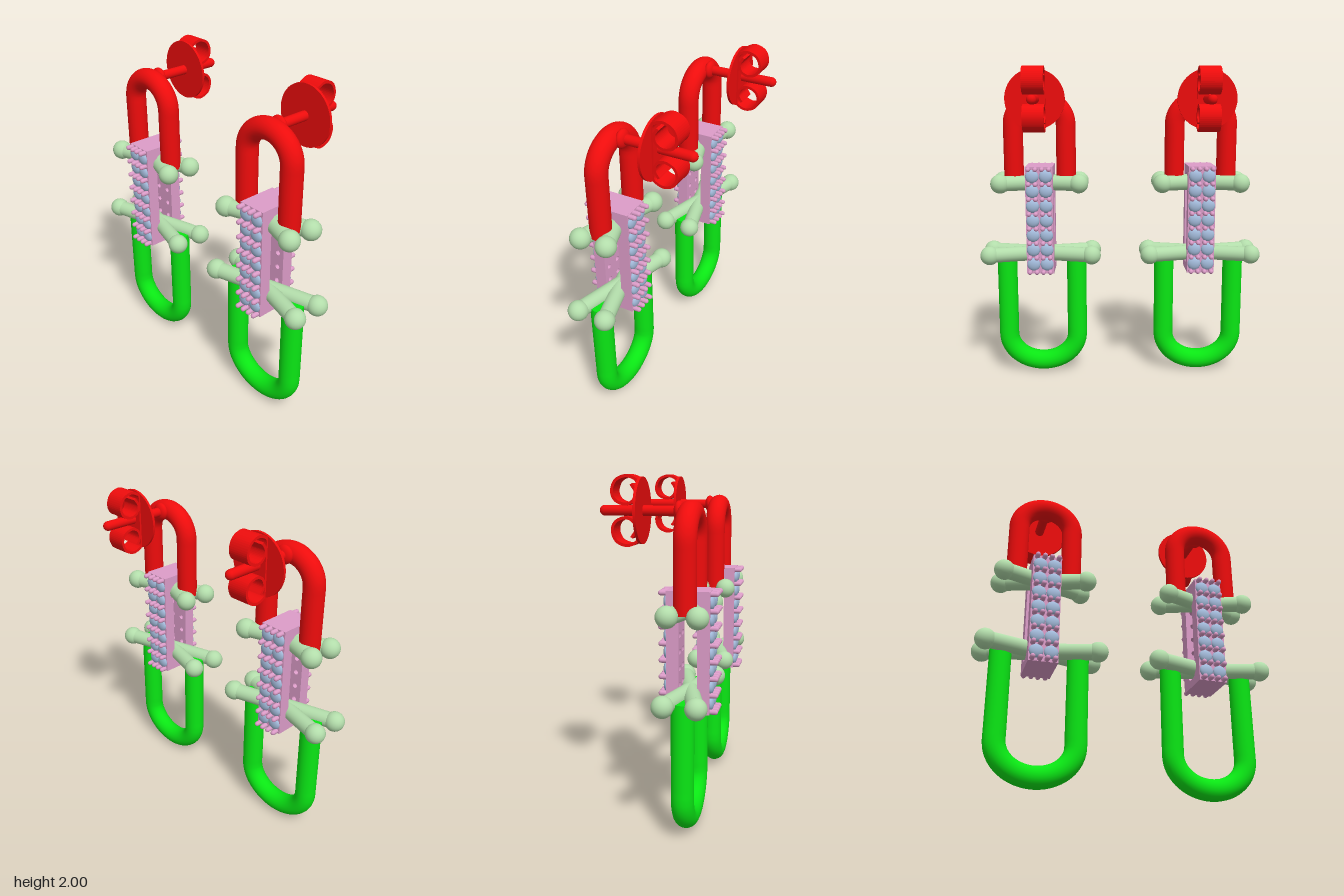
import * as THREE from 'three';

const mat = (color) => new THREE.MeshStandardMaterial({ color });
const RED = mat(0xee0c0c), GREEN = mat(0x0ae614), SAGE = mat(0xb2dcaa);
const PINK = mat(0xdc9cc8), BLUE = mat(0xa4bcdc);
RED.side = THREE.DoubleSide;

function add(parent, name, geometry, material, x = 0, y = 0, z = 0) {
  const mesh = new THREE.Mesh(geometry, material);
  mesh.name = name;
  mesh.position.set(x, y, z);
  parent.add(mesh);
  return mesh;
}

// U-shaped loop: two straight legs joined by half an ellipse, dir = 1 arches up, -1 hangs down
function addLoop(parent, name, material, halfWidth, rise, springY, endY, dir, radius) {
  const pts = [];
  const leg = (t) => springY + (endY - springY) * t;
  for (const t of [1, 0.66, 0.33, 0.1]) pts.push(new THREE.Vector3(halfWidth, leg(t), 0));
  for (let i = 0; i <= 16; i++) {
    const a = (i / 16) * Math.PI;
    pts.push(new THREE.Vector3(halfWidth * Math.cos(a), springY + dir * rise * Math.sin(a), 0));
  }
  for (const t of [0.1, 0.33, 0.66, 1]) pts.push(new THREE.Vector3(-halfWidth, leg(t), 0));
  add(parent, name, new THREE.TubeGeometry(new THREE.CatmullRomCurve3(pts), 96, radius, 24), material);
  for (const s of [-1, 1]) {
    const cap = add(parent, name + 'End', new THREE.CircleGeometry(radius, 24), material, s * halfWidth, endY, 0);
    cap.rotation.x = dir * Math.PI / 2;
  }
}

// Two crossing rods with a ball on each end
function addCrossedRods(parent, name, y, dx, dz) {
  const group = new THREE.Group();
  group.name = name;
  group.position.y = y;
  const rodGeo = new THREE.CylinderGeometry(0.048, 0.048, 2 * Math.hypot(dx, dz), 24);
  const ballGeo = new THREE.SphereGeometry(0.061, 24, 16);
  for (const s of [-1, 1]) {
    const rod = add(group, 'rod', rodGeo, SAGE);
    rod.quaternion.setFromUnitVectors(new THREE.Vector3(0, 1, 0), new THREE.Vector3(dx, 0, s * dz).normalize());
    for (const e of [-1, 1]) add(group, 'ball', ballGeo, SAGE, e * dx, 0, e * s * dz);
  }
  parent.add(group);
}

// Open box set with two columns of stones on its front and back
function createSetting() {
  const group = new THREE.Group();
  group.name = 'stoneSetting';
  const W = 0.174, H = 0.69, D = 0.244, T = 0.07, rows = 7, pitch = 0.0945, col = 0.043;
  const rowY = (r) => (r - (rows - 1) / 2) * pitch;

  // plate pierced behind every stone
  const plate = new THREE.Shape();
  plate.moveTo(-W / 2, -H / 2).lineTo(W / 2, -H / 2).lineTo(W / 2, H / 2).lineTo(-W / 2, H / 2).closePath();
  for (let r = 0; r < rows; r++) for (const s of [-1, 1]) {
    plate.holes.push(new THREE.Path().absarc(s * col, rowY(r), 0.016, 0, Math.PI * 2, true));
  }
  const plateGeo = new THREE.ExtrudeGeometry(plate, { depth: T, bevelEnabled: false, curveSegments: 8 });

  // end block with filleted inner corners
  const w = D / 2 - T, f = 0.035, t = 0.05;
  const block = new THREE.Shape();
  block.moveTo(-w, 0).lineTo(w, 0).lineTo(w, -t - f);
  block.absarc(w - f, -t - f, f, 0, Math.PI / 2, false);
  block.lineTo(-w + f, -t);
  block.absarc(-w + f, -t - f, f, Math.PI / 2, Math.PI, false);
  block.closePath();
  const blockGeo = new THREE.ExtrudeGeometry(block, { depth: W, bevelEnabled: false, curveSegments: 8 });
  blockGeo.translate(0, 0, -W / 2).rotateY(Math.PI / 2);

  const stoneGeo = new THREE.SphereGeometry(0.042, 20, 14).scale(1, 1, 0.5);
  const prongGeo = new THREE.CapsuleGeometry(0.015, 0.04, 4, 10).rotateX(Math.PI / 2);

  for (const turn of [0, Math.PI]) {
    const side = new THREE.Group();
    side.name = turn ? 'backFace' : 'frontFace';
    side.rotation.y = turn;
    add(side, 'plate', plateGeo, PINK, 0, 0, D / 2 - T);
    for (const s of [-1, 1]) {
      for (let r = 0; r < rows; r++) add(side, 'stone', stoneGeo, BLUE, s * col, rowY(r), D / 2);
      for (let r = 0; r <= rows; r++) for (const k of [-1, 1]) {
        add(side, 'prong', prongGeo, PINK, s * col + k * 0.022, rowY(r - 0.5), D / 2 + 0.012);
      }
    }
    group.add(side);
    const end = add(group, turn ? 'bottomBlock' : 'topBlock', blockGeo, PINK, 0, turn ? -H / 2 : H / 2, 0);
    end.rotation.x = turn;
  }
  return group;
}

// Ear post with disc and a curled clip; local z = 0 is the world centre plane
function createStud() {
  const group = new THREE.Group();
  group.name = 'earStud';
  add(group, 'post', new THREE.CapsuleGeometry(0.029, 0.39, 6, 18).rotateX(Math.PI / 2), RED, 0, 0, -0.111);
  add(group, 'collar', new THREE.SphereGeometry(0.055, 24, 16).scale(1, 1, 0.55), RED, 0, 0, 0.108);
  add(group, 'disc', new THREE.CylinderGeometry(0.18, 0.18, 0.015, 48).rotateX(Math.PI / 2), RED, 0, 0, -0.097);

  // one curled ribbon, swept by offsetting its centre line (z, y)
  const line = new THREE.SplineCurve([
    [-0.107, 0], [-0.107, 0.08], [-0.107, 0.15], [-0.135, 0.176], [-0.177, 0.184], [-0.228, 0.16],
    [-0.249, 0.105], [-0.23, 0.057], [-0.177, 0.036], [-0.132, 0.055], [-0.118, 0.1], [-0.142, 0.142],
  ].map(([z, y]) => new THREE.Vector2(z, y)));
  const outer = [], inner = [];
  for (let i = 0; i <= 60; i++) {
    const p = line.getPoint(i / 60), d = line.getTangent(i / 60);
    const n = new THREE.Vector2(-d.y, d.x).multiplyScalar(0.008);
    outer.push(p.clone().add(n));
    inner.unshift(p.clone().sub(n));
  }
  const width = 0.128;
  const curlGeo = new THREE.ExtrudeGeometry(new THREE.Shape([...outer, ...inner]), { depth: width, bevelEnabled: false });
  curlGeo.translate(0, 0, -width / 2).rotateY(-Math.PI / 2);
  add(group, 'upperCurl', curlGeo, RED);
  add(group, 'lowerCurl', curlGeo, RED).rotation.z = Math.PI;
  return group;
}

function createEarring(name) {
  const earring = new THREE.Group();
  earring.name = name;
  const body = new THREE.Group();
  body.name = 'body';
  body.position.z = 0.172;
  addLoop(body, 'upperLoop', RED, 0.168, 0.155, 1.65, 1.275, 1, 0.063);
  addLoop(body, 'lowerLoop', GREEN, 0.228, 0.19, 0.256, 0.81, -1, 0.064);
  addCrossedRods(body, 'upperRods', 1.275, 0.25, 0.083);
  addCrossedRods(body, 'lowerRods', 0.81, 0.328, 0.09);
  const setting = createSetting();
  setting.position.y = 1.042;
  body.add(setting);
  earring.add(body);
  const stud = createStud();
  stud.position.y = 1.808;
  earring.add(stud);
  return earring;
}

export function createModel() {
  const model = new THREE.Group();
  model.name = 'earrings';
  for (const s of [-1, 1]) {
    const earring = createEarring(s > 0 ? 'leftEarring' : 'rightEarring');
    earring.position.x = s * 0.517;
    model.add(earring);
  }
  return model;
}
